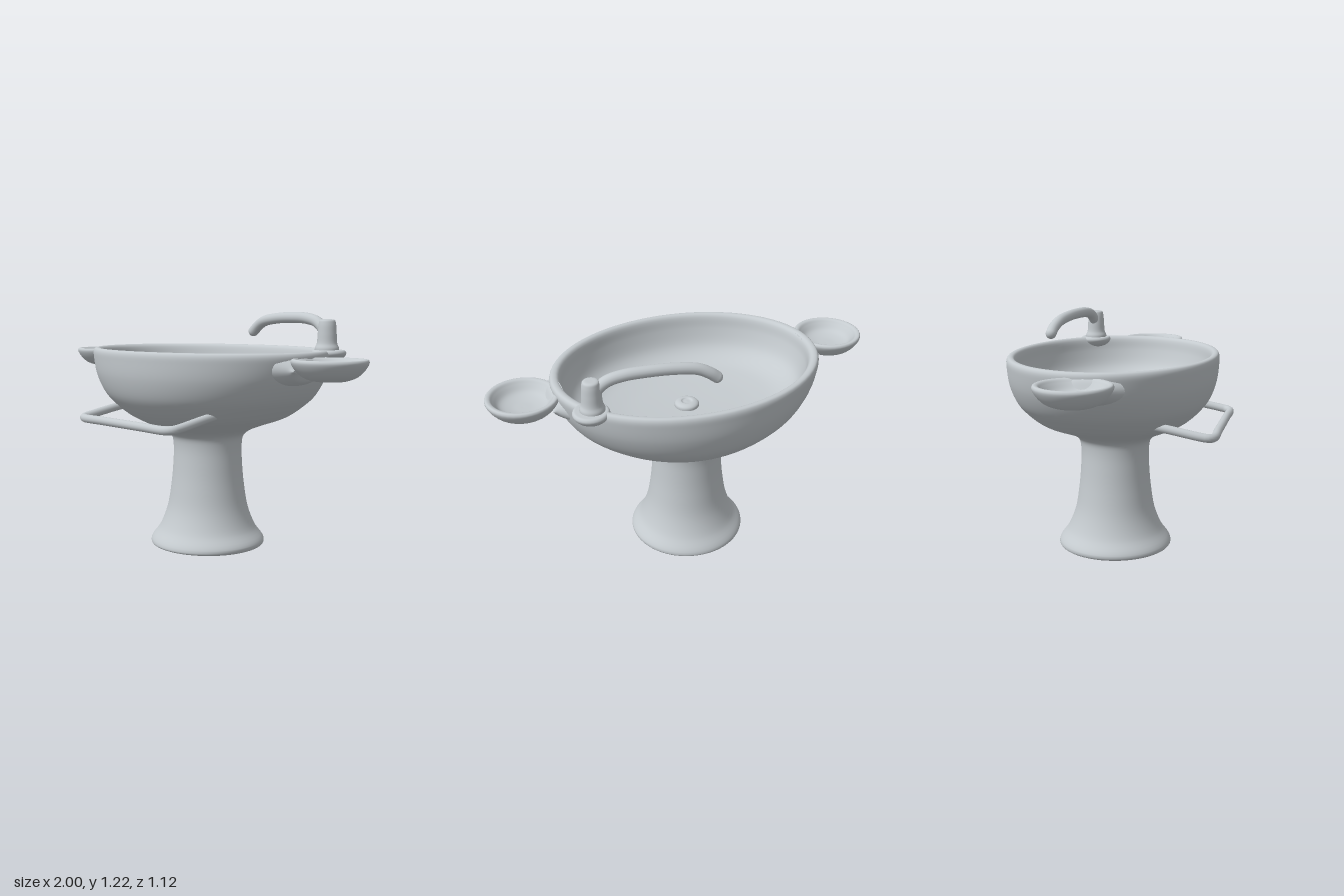
import * as THREE from 'three';

const ceramic = new THREE.MeshStandardMaterial({ color: 0xc4cace });
ceramic.name = 'grey ceramic';

// Smooth surface through elliptical rings [radiusX, height, radiusZ], listed from bottom up
function rings(list, steps, sides) {
  const curve = new THREE.CatmullRomCurve3(
    list.map(([rx, y, rz = rx]) => new THREE.Vector3(rx, y, rz)), false, 'centripetal');
  const pos = [], index = [];
  curve.getPoints(steps).forEach((p, i) => {
    const rx = Math.max(p.x, 0), rz = Math.max(p.z, 0);
    for (let j = 0; j < sides; j++) {
      const t = (j / sides) * Math.PI * 2;
      pos.push(rx * Math.cos(t), p.y, rz * Math.sin(t));
      if (i === steps) continue;
      const a = i * sides + j, b = i * sides + (j + 1) % sides;
      index.push(a, a + sides, b, b, a + sides, b + sides);
    }
  });
  const geo = new THREE.BufferGeometry();
  geo.setAttribute('position', new THREE.Float32BufferAttribute(pos, 3));
  geo.setIndex(index);
  geo.computeVertexNormals();
  return geo;
}

function tube(points, radius, steps) {
  const path = new THREE.CatmullRomCurve3(
    points.map(p => new THREE.Vector3(...p)), false, 'centripetal');
  return new THREE.TubeGeometry(path, steps, radius, 16);
}

export function createModel() {
  const group = new THREE.Group();
  const add = (name, geo, x = 0, y = 0, z = 0) => {
    const mesh = new THREE.Mesh(geo, ceramic);
    mesh.name = name;
    mesh.position.set(x, y, z);
    group.add(mesh);
    return mesh;
  };

  // Pedestal flowing into the oval bowl, over the rim and down to the basin floor
  add('pedestalAndBowl', rings([
    [0, 0.005], [0.28, 0.005, 0.275], [0.3, 0.015, 0.297], [0.302, 0.035, 0.294],
    [0.255, 0.1, 0.25], [0.217, 0.2, 0.21], [0.195, 0.32, 0.19], [0.184, 0.43, 0.18],
    [0.18, 0.53, 0.178], [0.187, 0.58, 0.188], [0.215, 0.61, 0.22], [0.305, 0.648, 0.305],
    [0.44, 0.695, 0.388], [0.53, 0.75, 0.448], [0.6, 0.81, 0.492], [0.657, 0.9, 0.522],
    [0.682, 0.98, 0.53], [0.686, 1.018, 0.53], [0.677, 1.034, 0.522], [0.652, 1.035, 0.5],
    [0.637, 1.02, 0.488], [0.623, 0.96, 0.475], [0.583, 0.87, 0.442], [0.5, 0.815, 0.378],
    [0.36, 0.789, 0.27], [0.18, 0.778, 0.135], [0, 0.774],
  ], 130, 72), 0, 0, -0.028);

  // Domed drain with a shallow centre recess
  add('drain', rings([
    [0.062, 0.765], [0.062, 0.788], [0.052, 0.798], [0.03, 0.802],
    [0.022, 0.797], [0, 0.797],
  ], 24, 32), 0, 0, -0.03);

  // Soap dishes on both sides, each joined by a flared neck
  const dish = rings([
    [0, 0.912], [0.08, 0.917], [0.13, 0.938], [0.162, 0.972], [0.175, 1.0],
    [0.17, 1.012], [0.152, 1.011], [0.137, 0.995], [0.11, 0.966], [0.06, 0.951], [0, 0.948],
  ], 48, 40);
  const neck = rings([
    [0.075, 0.64, 0.18], [0.064, 0.668, 0.146], [0.05, 0.69, 0.124], [0.012, 0.712, 0.116],
  ], 20, 36);
  for (const side of [-1, 1]) {
    const label = side > 0 ? 'left' : 'right';
    add(label + 'SoapDish', dish, side * 0.825, 0, 0);
    add(label + 'DishNeck', neck, 0, 0.956, 0).rotation.z = -side * Math.PI / 2;
  }

  // Shallow ledge bulging from the rim under the tap
  add('tapLedge', rings([
    [0, 0.972], [0.045, 0.982], [0.075, 1.002], [0.086, 1.022], [0.08, 1.035], [0.06, 1.038], [0, 1.038],
  ], 30, 32), 0.583, 0, -0.293);

  // Tap body
  add('tapBody', rings([
    [0, 1.025], [0.056, 1.025], [0.059, 1.045], [0.05, 1.07], [0.046, 1.12],
    [0.042, 1.165], [0.036, 1.183], [0, 1.187],
  ], 40, 28), 0.575, 0, -0.289);

  // Long curved spout with a rounded tip
  add('spout', tube([
    [0.575, 1.09, -0.289], [0.55, 1.135, -0.292], [0.505, 1.172, -0.299], [0.43, 1.19, -0.309],
    [0.33, 1.194, -0.323], [0.2, 1.189, -0.341], [0.09, 1.172, -0.357],
    [0.035, 1.145, -0.368], [0, 1.118, -0.372],
  ], 0.028, 60));
  add('spoutTip', new THREE.SphereGeometry(0.028, 16, 12), 0, 1.118, -0.372);

  // Towel rail in front of the bowl
  const half = [[0.345, 0.738, 0.23], [0.349, 0.725, 0.32], [0.349, 0.697, 0.48],
    [0.342, 0.692, 0.512], [0.315, 0.69, 0.532], [0.15, 0.69, 0.534]];
  const mirrored = half.map(([x, y, z]) => [-x, y, z]).reverse();
  add('towelRail', tube([...half, ...mirrored], 0.021, 100));

  return group;
}
